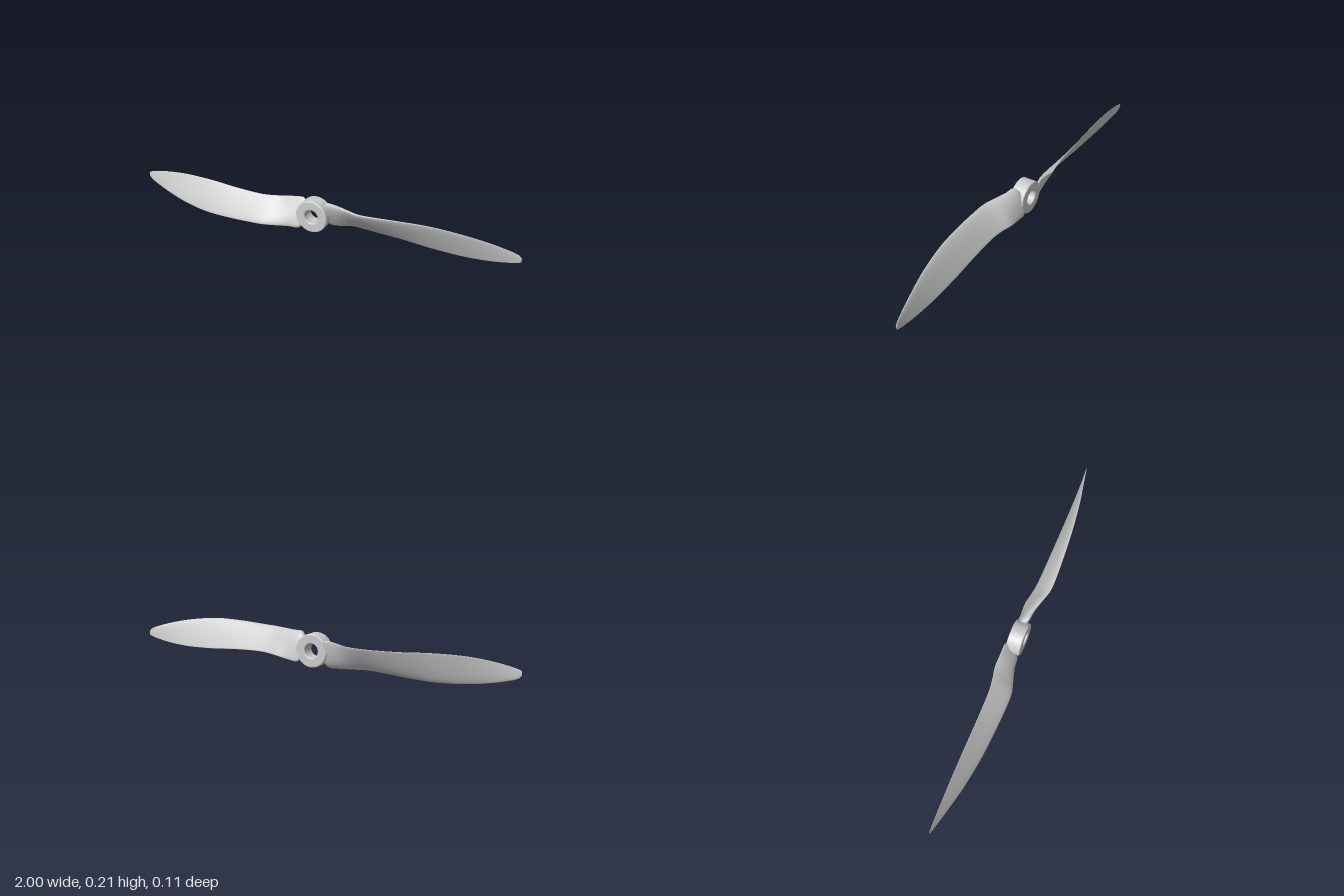
import * as THREE from 'three';

const HUB_Y = 0.103;
const material = new THREE.MeshStandardMaterial({ color: 0xcccccc });

// Blade stations: x, leading edge y, z, trailing edge y, z, thickness (y is relative to the hub axis)
const STATIONS = [
  [0.058, 0.066, -0.004, -0.040, -0.047, 0.042],
  [0.078, 0.083, 0.006, -0.058, -0.055, 0.052],
  [0.13, 0.084, 0.014, -0.052, -0.056, 0.046],
  [0.19, 0.085, 0.033, -0.040, -0.058, 0.036],
  [0.25, 0.086, 0.050, -0.034, -0.047, 0.030],
  [0.32, 0.090, 0.052, -0.032, -0.039, 0.027],
  [0.45, 0.099, 0.046, -0.036, -0.037, 0.023],
  [0.60, 0.103, 0.034, -0.046, -0.037, 0.019],
  [0.75, 0.088, 0.014, -0.048, -0.037, 0.015],
  [0.87, 0.064, -0.009, -0.038, -0.037, 0.011],
  [0.95, 0.041, -0.025, -0.024, -0.037, 0.008],
  [0.985, 0.027, -0.032, -0.015, -0.037, 0.006],
  [1.0, 0.012, -0.034, -0.008, -0.037, 0.004],
];

// Smooth curve through one set of station values
function track(pick) {
  const points = STATIONS.map((s) => new THREE.Vector3(...pick(s)));
  return new THREE.CatmullRomCurve3(points, false, 'catmullrom', 0.5);
}

// Twisted blade lofted through airfoil sections
function bladeGeometry(rings = 96, sides = 32) {
  const leading = track((s) => [s[0], s[1], s[2]]);
  const trailing = track((s) => [s[0], s[3], s[4]]);
  const thick = track((s) => [s[0], s[5], 0]);
  const pos = [];
  const index = [];

  for (let i = 0; i <= rings; i++) {
    const t = i / rings;
    const a = leading.getPoint(t);
    const b = trailing.getPoint(t);
    const half = thick.getPoint(t).y / 2;
    const mid = a.clone().add(b).multiplyScalar(0.5);
    const chord = a.clone().sub(b).multiplyScalar(0.5);
    const normal = new THREE.Vector3(0, chord.z, -chord.y).normalize();
    for (let j = 0; j < sides; j++) {
      const angle = (j / sides) * Math.PI * 2;
      const s = Math.cos(angle);
      // fuller towards the leading edge, flatter on the front face
      const bulge = Math.sin(angle) * half * (0.75 + 0.35 * s) * (Math.sin(angle) < 0 ? 0.7 : 1.1);
      const p = mid.clone().addScaledVector(chord, s).addScaledVector(normal, bulge);
      pos.push(p.x, p.y, p.z);
    }
  }
  for (let i = 0; i < rings; i++) {
    for (let j = 0; j < sides; j++) {
      const k = (j + 1) % sides;
      const p = i * sides;
      const q = p + sides;
      index.push(p + j, q + j, p + k, p + k, q + j, q + k);
    }
  }
  // end caps with their own vertices, so their edges stay sharp
  for (const [ring, root] of [[0, true], [rings, false]]) {
    const first = pos.length / 3;
    pos.push(...pos.slice(ring * sides * 3, (ring + 1) * sides * 3));
    for (let j = 1; j < sides - 1; j++) {
      if (root) index.push(first, first + j, first + j + 1);
      else index.push(first, first + j + 1, first + j);
    }
  }
  const geometry = new THREE.BufferGeometry();
  geometry.setAttribute('position', new THREE.Float32BufferAttribute(pos, 3));
  geometry.setIndex(index);
  geometry.computeVertexNormals();
  return geometry;
}

// Ring-shaped hub with softened rims and a shaft hole
function hubGeometry() {
  const outer = 0.082;
  const bevel = 0.006;
  const shape = new THREE.Shape().absarc(0, 0, outer - bevel, 0, Math.PI * 2, false);
  shape.holes.push(new THREE.Path().absarc(0, 0, 0.035 + bevel, 0, Math.PI * 2, true));
  const geometry = new THREE.ExtrudeGeometry(shape, {
    depth: 0.072 - 2 * bevel,
    bevelEnabled: true,
    bevelSize: bevel,
    bevelThickness: bevel,
    bevelSegments: 4,
    curveSegments: 48,
  });
  return geometry.translate(0, 0, -0.052 + bevel);
}

export function createModel() {
  const propeller = new THREE.Group();
  propeller.name = 'propeller';

  const hub = new THREE.Mesh(hubGeometry(), material);
  hub.name = 'hub';
  hub.position.y = HUB_Y;
  propeller.add(hub);

  // Two identical blades, half a turn apart
  const geometry = bladeGeometry();
  ['leftBlade', 'rightBlade'].forEach((name, i) => {
    const blade = new THREE.Mesh(geometry, material);
    blade.name = name;
    blade.position.y = HUB_Y;
    blade.rotation.z = i * Math.PI;
    propeller.add(blade);
  });
  return propeller;
}
